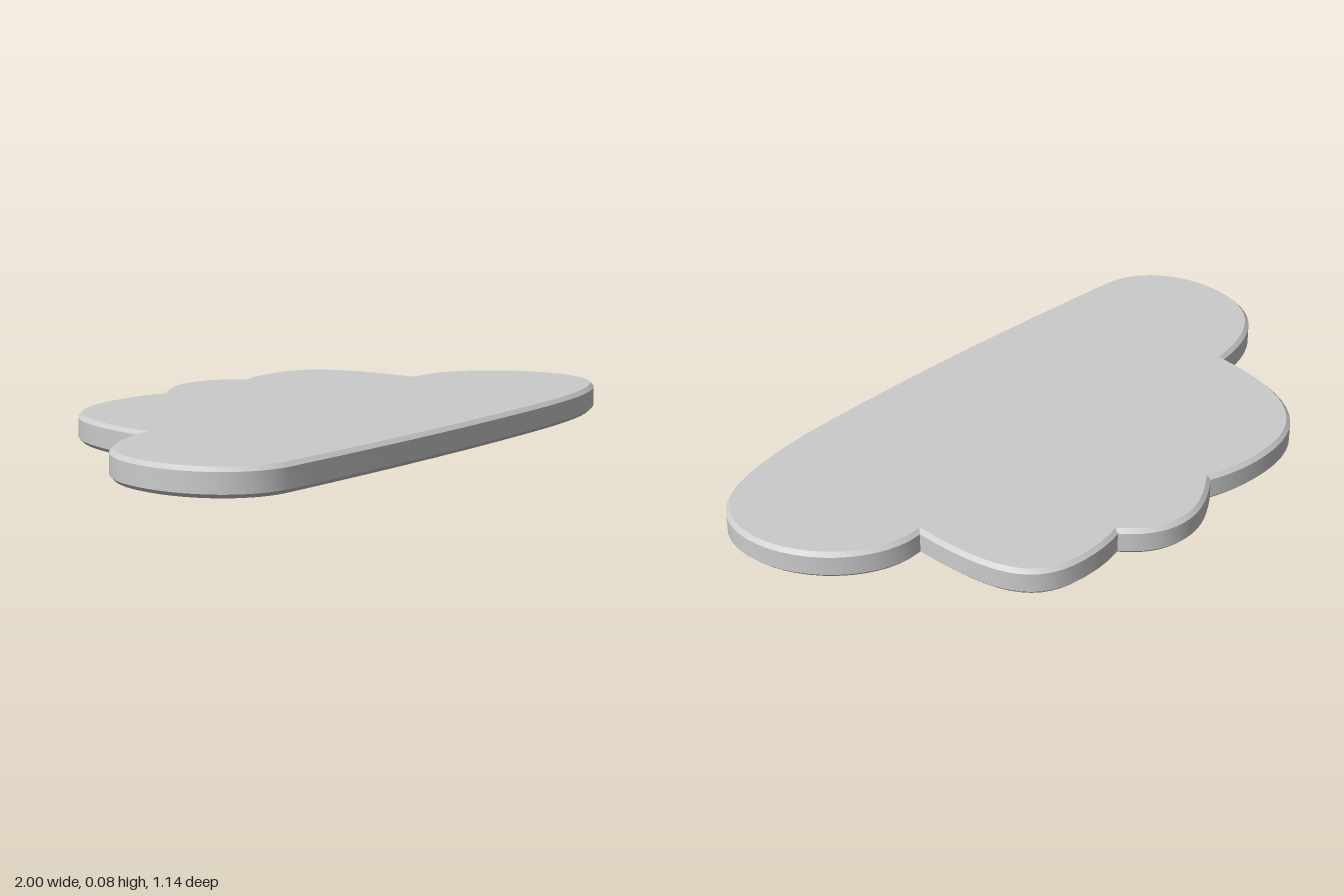
import * as THREE from 'three';
import { toCreasedNormals } from 'three/addons/utils/BufferGeometryUtils.js';

const HEIGHT = 0.083;
const BEVEL = 0.012;

// Cloud outline, seen from above with the back upwards: each row is one Bezier arc
// (control 1, control 2, end point).
const START = [-0.66, 0.093];
const ARCS = [
  // upper left lobe
  [-0.64, 0.36, -0.55, 0.53, -0.31, 0.53],
  [-0.23, 0.53, -0.16, 0.515, -0.1, 0.49],
  // crown lobe
  [-0.02, 0.545, 0.04, 0.57, 0.1, 0.57],
  [0.18, 0.57, 0.24, 0.53, 0.285, 0.465],
  // upper right lobe
  [0.32, 0.475, 0.36, 0.48, 0.4, 0.48],
  [0.6, 0.48, 0.67, 0.38, 0.66, 0.055],
  // right lobe
  [0.83, 0.075, 1, -0.1, 1, -0.29],
  [1, -0.52, 0.75, -0.57, 0.4, -0.57],
  // long front edge
  [0.05, -0.57, -0.3, -0.555, -0.79, -0.51],
  // left lobe
  [-0.92, -0.49, -1, -0.37, -1, -0.23],
  [-1, -0.02, -0.86, 0.075, ...START],
];

export function createModel() {
  const outline = new THREE.Shape();
  outline.moveTo(...START);
  ARCS.forEach((arc) => outline.bezierCurveTo(...arc));

  // Flat slab with a chamfer around both rims
  const slab = new THREE.ExtrudeGeometry(outline, {
    depth: HEIGHT - 2 * BEVEL,
    curveSegments: 14,
    bevelEnabled: true,
    bevelSegments: 1,
    bevelSize: BEVEL,
    bevelThickness: BEVEL,
    bevelOffset: -BEVEL,
  });
  slab.rotateX(-Math.PI / 2);
  slab.translate(0, BEVEL, 0);

  const cloud = new THREE.Mesh(
    toCreasedNormals(slab, 0.5),
    new THREE.MeshStandardMaterial({ color: 0xcccccc }),
  );
  cloud.name = 'cloudSlab';

  const model = new THREE.Group();
  model.name = 'cloud';
  model.add(cloud);
  return model;
}
